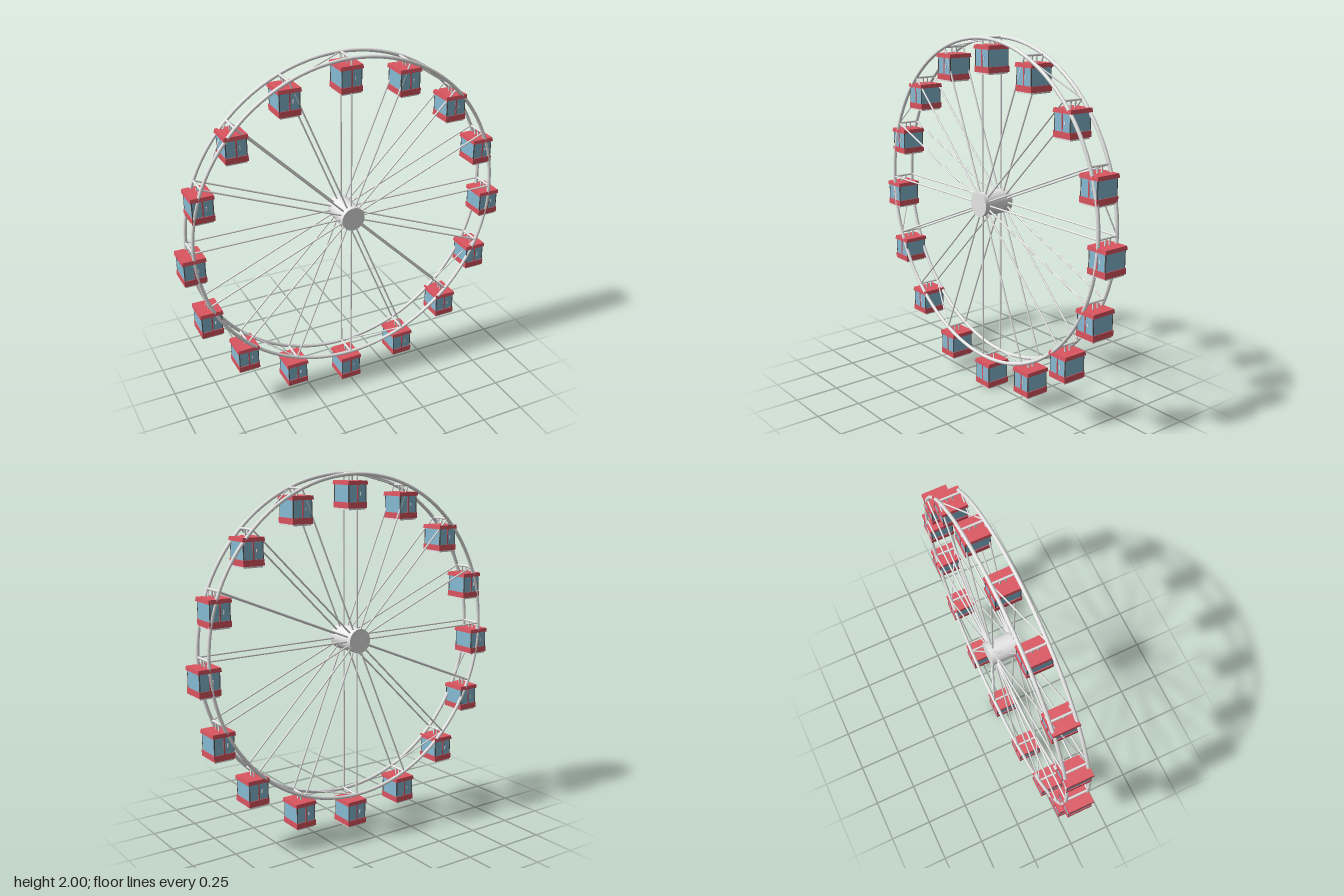
import * as THREE from 'three';

const COUNT = 16, HUB_Y = 1.09, RIM_R = 0.9, RIM_Z = 0.063;

const mat = (name, color) => {
  const m = new THREE.MeshStandardMaterial({ color });
  m.name = name;
  return m;
};

export function createModel() {
  const red = mat('cabin red', 0xdc5560);
  const blue = mat('window blue', 0x87bbd4);
  const steel = mat('light steel', 0xe8e8e8);
  const dark = mat('dark trim', 0x5a5656);
  const white = mat('handle white', 0xfafafa);

  const add = (parent, name, geometry, material, x = 0, y = 0, z = 0) => {
    const mesh = new THREE.Mesh(geometry, material);
    mesh.name = name;
    mesh.position.set(x, y, z);
    parent.add(mesh);
    return mesh;
  };
  const box = (w, h, d) => new THREE.BoxGeometry(w, h, d);

  // Straight round bar between two points
  const bar = (parent, name, a, b, r) => {
    const dir = b.clone().sub(a);
    const mesh = add(parent, name, new THREE.CylinderGeometry(r, r, dir.length(), 8), steel);
    mesh.position.copy(a).add(b).multiplyScalar(0.5);
    mesh.quaternion.setFromUnitVectors(new THREE.Vector3(0, 1, 0), dir.normalize());
  };

  const model = new THREE.Group();
  model.name = 'ferrisWheel';
  const wheel = new THREE.Group();
  wheel.name = 'wheel';
  wheel.position.y = HUB_Y;
  model.add(wheel);

  // Hub and the two rims
  add(wheel, 'hub', new THREE.CylinderGeometry(0.068, 0.068, 0.186, 32), steel).rotation.x = Math.PI / 2;
  const rimGeo = new THREE.TorusGeometry(RIM_R, 0.01, 8, 96);
  for (const s of [-1, 1]) add(wheel, 'rim', rimGeo, steel, 0, 0, s * RIM_Z);

  // Spokes, cross bars and diagonal braces
  const rimPoint = (k, z, r = RIM_R) => {
    const a = (k / COUNT) * Math.PI * 2;
    return new THREE.Vector3(Math.cos(a) * r, Math.sin(a) * r, z);
  };
  for (let k = 0; k < COUNT; k++) {
    for (const s of [-1, 1]) bar(wheel, 'spoke', rimPoint(k, s * RIM_Z, 0.04), rimPoint(k, s * RIM_Z), 0.005);
    bar(wheel, 'crossBar', rimPoint(k, -RIM_Z), rimPoint(k, RIM_Z), 0.0065);
    if (k % 2 === 0) bar(wheel, 'brace', rimPoint(k, -RIM_Z), rimPoint(k + 1, RIM_Z), 0.004);
  }

  // Roof slab, its top edge drawn in slightly
  const roofGeo = box(0.13, 0.021, 0.148);
  const p = roofGeo.attributes.position;
  for (let i = 0; i < p.count; i++) {
    if (p.getY(i) > 0) p.setXYZ(i, p.getX(i) * 0.96, p.getY(i), p.getZ(i) * 0.96);
  }
  roofGeo.computeVertexNormals();

  // One cabin, hung from its origin
  const cabin = new THREE.Group();
  cabin.name = 'cabin';
  for (const s of [-1, 1]) add(cabin, 'hanger', box(0.007, 0.04, 0.007), steel, 0, -0.02, s * 0.015);
  add(cabin, 'roof', roofGeo, red, 0, -0.0475);
  add(cabin, 'body', box(0.114, 0.094, 0.134), blue, 0, -0.104);
  add(cabin, 'skirt', box(0.122, 0.032, 0.142), red, 0, -0.165);
  add(cabin, 'floor', box(0.11, 0.01, 0.13), steel, 0, -0.185);
  for (const sx of [-1, 1]) {
    for (const sz of [-1, 1]) {
      add(cabin, 'cornerPost', box(0.005, 0.092, 0.005), dark, sx * 0.0555, -0.104, sz * 0.0655);
    }
  }
  // Door trim and handle, the same on the front and the back
  for (const s of [-1, 1]) {
    const door = new THREE.Group();
    door.name = 'door';
    door.rotation.y = s > 0 ? 0 : Math.PI;
    cabin.add(door);
    add(door, 'doorPost', box(0.007, 0.092, 0.003), red, 0, -0.104, 0.068);
    add(door, 'handle', box(0.006, 0.018, 0.004), white, 0.019, -0.105, 0.068);
  }

  // Cabins hang upright all around the wheel
  for (let k = 0; k < COUNT; k++) {
    const c = cabin.clone();
    c.position.copy(rimPoint(k, 0));
    c.position.y += HUB_Y;
    model.add(c);
  }
  return model;
}
